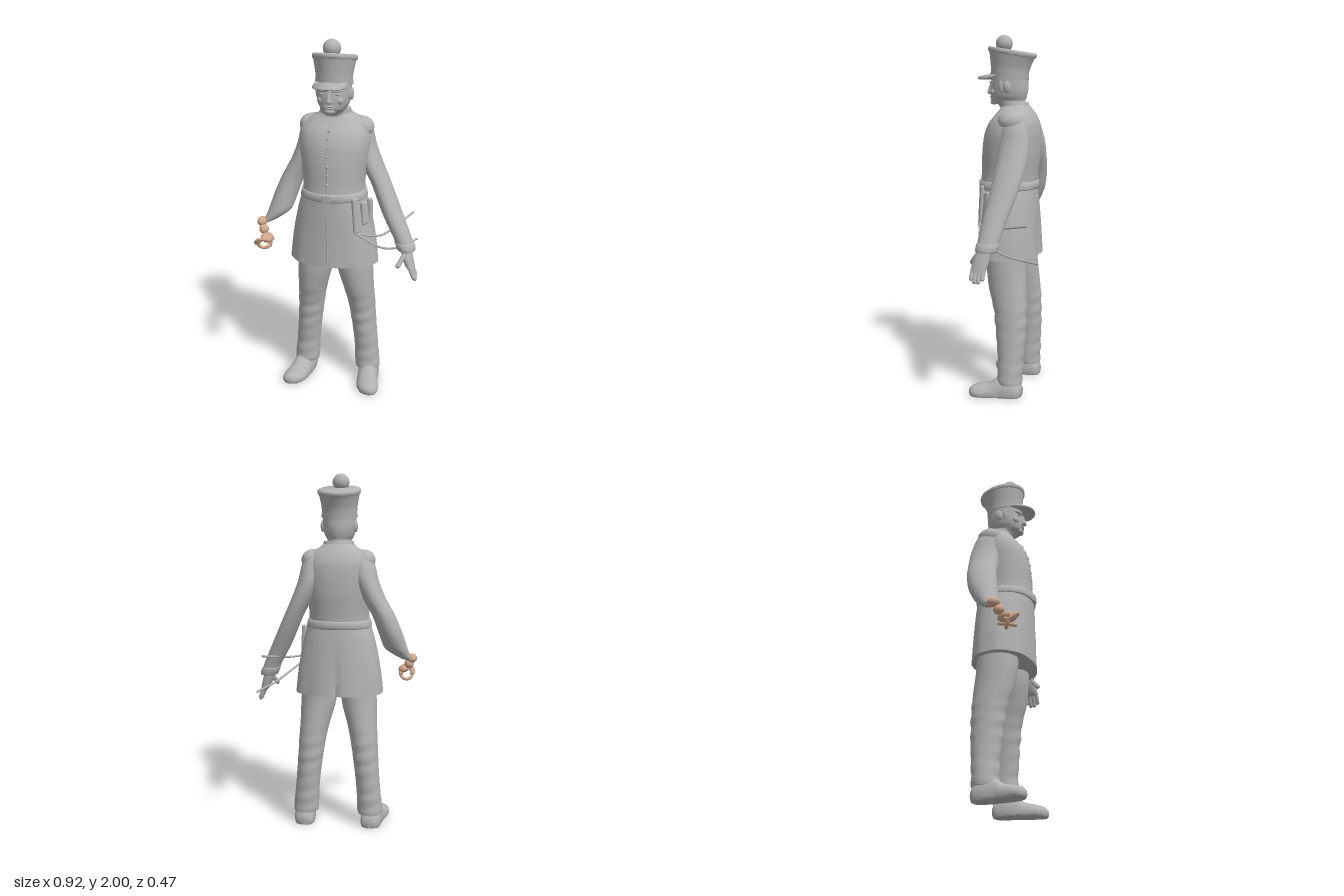
import * as THREE from 'three';
import { toCreasedNormals } from 'three/addons/utils/BufferGeometryUtils.js';
import { RoundedBoxGeometry } from 'three/addons/geometries/RoundedBoxGeometry.js';

const CX = -0.022; // the body's middle line
const gray = new THREE.MeshStandardMaterial({ color: 0xb2b2b2 });
gray.name = 'plain gray';
const tan = new THREE.MeshStandardMaterial({ color: 0xd0a88c });
tan.name = 'tan';

// Smooth loft through elliptical sections [x, y, z, rx, rz, tilt], listed from low to high
function loft(sections, { steps = 5, sides = 48, power = 2, shape = null } = {}) {
  const at = (i) => sections[Math.max(0, Math.min(sections.length - 1, i))];
  const rings = [];
  for (let i = 0; i < sections.length - 1; i++) {
    for (let k = 0; k < steps; k++) {
      const t = k / steps, t2 = t * t, t3 = t2 * t;
      rings.push([0, 1, 2, 3, 4, 5].map((c) => {
        const v = (n) => at(n)[c] ?? 0;
        const m0 = (v(i + 1) - v(i - 1)) * 0.4, m1 = (v(i + 2) - v(i)) * 0.4;
        return (2 * t3 - 3 * t2 + 1) * v(i) + (t3 - 2 * t2 + t) * m0 + (3 * t2 - 2 * t3) * v(i + 1) + (t3 - t2) * m1;
      }));
    }
  }
  rings.push(sections.at(-1));
  const pos = [], index = [], p = new THREE.Vector3();
  for (const [x, y, z, rx, rz, tilt = 0] of rings) {
    for (let j = 0; j < sides; j++) {
      const a = (j / sides) * Math.PI * 2, c = Math.cos(a), s = Math.sin(a);
      const dx = Math.sign(c) * Math.abs(c) ** (2 / power) * rx;
      const dz = Math.sign(s) * Math.abs(s) ** (2 / power) * rz;
      p.set(x + dx, y + tilt * dz, z + dz);
      if (shape) shape(p, a);
      pos.push(p.x, p.y, p.z);
    }
  }
  for (let i = 0; i < rings.length - 1; i++) {
    for (let j = 0; j < sides; j++) {
      const a = i * sides + j, b = i * sides + ((j + 1) % sides);
      index.push(a, a + sides, b, b, a + sides, b + sides);
    }
  }
  const top = (rings.length - 1) * sides, n = rings.length * sides;
  pos.push(...rings[0].slice(0, 3), ...rings.at(-1).slice(0, 3));
  for (let j = 0; j < sides; j++) {
    const k = (j + 1) % sides;
    index.push(n, j, k, n + 1, top + k, top + j);
  }
  const g = new THREE.BufferGeometry();
  g.setAttribute('position', new THREE.Float32BufferAttribute(pos, 3));
  g.setIndex(index);
  return g;
}

export function createModel() {
  const model = new THREE.Group();
  model.name = 'soldier';
  const add = (name, geometry, material = gray) => {
    const mesh = new THREE.Mesh(geometry, material);
    mesh.name = name;
    model.add(mesh);
    return mesh;
  };
  const form = (name, sections, options) => add(name, toCreasedNormals(loft(sections, options), 0.9));
  const ball = (name, x, y, z, rx, ry = rx, rz = rx, material = gray) => {
    const m = add(name, new THREE.SphereGeometry(1, 24, 16), material);
    m.position.set(x, y, z);
    m.scale.set(rx, ry, rz);
    return m;
  };
  const finger = (name, a, b, r, material = gray) => {
    const from = new THREE.Vector3(...a), to = new THREE.Vector3(...b), d = to.clone().sub(from);
    const m = add(name, new THREE.CapsuleGeometry(r, d.length(), 5, 12), material);
    m.position.copy(from).add(to).multiplyScalar(0.5);
    m.quaternion.setFromUnitVectors(new THREE.Vector3(0, 1, 0), d.normalize());
  };
  const tube = (name, points, r, material = gray) =>
    add(name, new THREE.TubeGeometry(new THREE.CatmullRomCurve3(points.map((q) => new THREE.Vector3(...q))), 24, r, 8), material);

  // Coat with soft skirt folds and a slit at the back
  form('coat', [
    [CX, 0.78, 0.047, 0.25, 0.17], [CX, 0.9, 0.048, 0.237, 0.166], [CX, 1.0, 0.05, 0.22, 0.163],
    [CX, 1.1, 0.053, 0.198, 0.16], [CX, 1.18, 0.056, 0.172, 0.156], [CX, 1.25, 0.05, 0.17, 0.156],
    [CX, 1.35, 0.042, 0.183, 0.16], [CX, 1.45, 0.034, 0.195, 0.154], [CX, 1.52, 0.024, 0.188, 0.136],
    [CX, 1.57, 0.015, 0.155, 0.105], [CX, 1.6, 0.015, 0.105, 0.085], [CX, 1.62, 0.02, 0.08, 0.075],
  ], {
    sides: 96, power: 2.15, shape: (p, a) => {
      const low = Math.max(0, Math.min(1, (1.12 - p.y) / 0.34));
      const back = Math.exp(-(((a - Math.PI * 1.5) / 0.05) ** 2));
      const k = 1 + low * (0.012 * Math.sin(a * 9) - 0.08 * back);
      p.x = CX + (p.x - CX) * k;
      p.z = 0.047 + (p.z - 0.047) * k;
    },
  });
  form('belt', [
    [CX, 1.155, 0.055, 0.183, 0.16], [CX, 1.16, 0.055, 0.185, 0.165],
    [CX, 1.195, 0.055, 0.178, 0.164], [CX, 1.2, 0.055, 0.172, 0.158],
  ], { steps: 2, power: 2.15, sides: 64 });
  const buckle = add('beltBuckle', new RoundedBoxGeometry(0.05, 0.045, 0.016, 2, 0.006));
  buckle.position.set(CX, 1.178, 0.22);
  tube('frontSeam', [[CX, 0.8, 0.216], [CX, 1, 0.212], [CX, 1.15, 0.212], [CX, 1.25, 0.205], [CX, 1.35, 0.201], [CX, 1.45, 0.187], [CX, 1.52, 0.159], [CX, 1.57, 0.12]], 0.004);
  const chest = new THREE.CatmullRomCurve3([[1.25, 0.206], [1.35, 0.202], [1.45, 0.188], [1.53, 0.154]].map(([y, z]) => new THREE.Vector3(CX, y, z)));
  for (let i = 0; i < 7; i++) {
    const q = chest.getPoint(i / 6);
    ball('coatButton', q.x, q.y, q.z, 0.009, 0.009, 0.007);
  }
  form('collar', [[CX, 1.575, 0.015, 0.1, 0.09], [CX, 1.6, 0.02, 0.089, 0.083], [CX, 1.633, 0.026, 0.083, 0.078]]);

  // Head and face
  form('head', [
    [CX, 1.59, 0.025, 0.07, 0.068], [CX, 1.625, 0.04, 0.068, 0.082], [CX, 1.64, 0.06, 0.068, 0.096],
    [CX, 1.665, 0.058, 0.082, 0.102], [CX, 1.7, 0.055, 0.09, 0.106], [CX, 1.74, 0.053, 0.093, 0.104],
    [CX, 1.79, 0.053, 0.094, 0.104],
  ]);
  form('nose', [[CX, 1.677, 0.158, 0.009, 0.012], [CX, 1.685, 0.16, 0.018, 0.024], [CX, 1.7, 0.159, 0.014, 0.022], [CX, 1.745, 0.152, 0.009, 0.012]], { sides: 20 });
  ball('upperLip', CX, 1.664, 0.157, 0.027, 0.006, 0.01);
  ball('lowerLip', CX, 1.652, 0.153, 0.022, 0.006, 0.01);
  ball('chin', CX, 1.635, 0.143, 0.03, 0.016, 0.02);
  for (const s of [-1, 1]) {
    ball('brow', CX + s * 0.037, 1.744, 0.143, 0.03, 0.008, 0.016).rotation.y = s * 0.35;
    ball('eye', CX + s * 0.036, 1.726, 0.145, 0.016, 0.007, 0.008);
    ball('cheek', CX + s * 0.046, 1.69, 0.128, 0.026, 0.022, 0.02);
    ball('ear', CX + s * 0.091, 1.715, 0.04, 0.013, 0.033, 0.022);
    ball('sideburn', CX + s * 0.087, 1.725, 0.075, 0.008, 0.035, 0.014);
  }

  // Tall flared cap with peak and ball
  form('cap', [
    [CX, 1.768, 0.053, 0.096, 0.103, 0.12], [CX, 1.82, 0.05, 0.099, 0.108, 0.13],
    [CX, 1.87, 0.043, 0.108, 0.12, 0.15], [CX, 1.909, 0.036, 0.116, 0.133, 0.167],
  ], { sides: 64 });
  form('capTopBand', [[CX, 1.89, 0.038, 0.115, 0.13, 0.16], [CX, 1.895, 0.038, 0.118, 0.134, 0.16], [CX, 1.913, 0.036, 0.118, 0.135, 0.167], [CX, 1.918, 0.036, 0.11, 0.127, 0.167]], { steps: 2, sides: 64 });
  form('capBottomBand', [[CX, 1.765, 0.053, 0.099, 0.106, 0.12], [CX, 1.787, 0.052, 0.1, 0.108, 0.12]], { steps: 2, sides: 64 });
  form('capPeak', [[CX, 1.777, 0.142, 0.086, 0.088, -0.2], [CX, 1.783, 0.142, 0.091, 0.094, -0.2], [CX, 1.793, 0.142, 0.086, 0.088, -0.2]], {
    steps: 3, shape: (p) => { p.y -= 1.8 * (p.x - CX) ** 2; },
  });
  ball('capBall', -0.025, 1.953, 0.085, 0.047);

  // Trousers and boots
  for (const s of [-1, 1]) {
    const side = s < 0 ? 'right' : 'left';
    const place = (list) => list.map(([d, ...rest]) => [CX + s * d, ...rest]);
    form(side + 'TrouserLeg', place([
      [0.188, 0.075, -0.006, 0.07, 0.068], [0.186, 0.1, -0.004, 0.073, 0.072], [0.179, 0.2, -0.007, 0.069, 0.073],
      [0.17, 0.3, -0.006, 0.069, 0.081], [0.16, 0.4, -0.002, 0.072, 0.088], [0.15, 0.5, 0.005, 0.077, 0.095],
      [0.136, 0.6, 0.022, 0.085, 0.107], [0.118, 0.72, 0.036, 0.1, 0.112], [0.108, 0.85, 0.04, 0.102, 0.112],
    ]), { shape: (p, a) => {
      const wave = Math.exp(-(((p.y - 0.42) / 0.12) ** 2)) + Math.exp(-(((p.y - 0.16) / 0.07) ** 2));
      p.z += 0.004 * wave * Math.sin(p.y * 75 + a);
    } });
    const boot = loft(place([
      [0.19, -0.073, -0.03, 0.03, 0.03], [0.192, -0.055, -0.03, 0.052, 0.06], [0.195, -0.01, -0.03, 0.06, 0.09],
      [0.2, 0.05, -0.025, 0.06, 0.09], [0.21, 0.1, -0.02, 0.063, 0.06], [0.222, 0.155, -0.02, 0.064, 0.047],
      [0.232, 0.195, -0.02, 0.05, 0.036], [0.237, 0.215, -0.02, 0.022, 0.018],
    ]));
    boot.rotateX(Math.PI / 2);
    const bp = boot.attributes.position;
    for (let i = 0; i < bp.count; i++) bp.setY(i, Math.max(0, bp.getY(i)));
    add(side + 'Boot', toCreasedNormals(boot, 0.8));
    ball(side + 'ShoulderWing', CX + s * 0.15, 1.535, 0.003, 0.058, 0.052, 0.07).rotation.z = -s * 0.6;
  }

  // Left arm with open hand
  form('leftSleeve', [
    [0.387, 0.872, 0.05, 0.047, 0.056], [0.36, 0.94, 0.042, 0.05, 0.06], [0.31, 1.04, 0.025, 0.055, 0.068],
    [0.268, 1.13, 0.005, 0.055, 0.075], [0.223, 1.23, -0.012, 0.054, 0.081], [0.172, 1.33, -0.02, 0.06, 0.085],
    [0.134, 1.42, -0.02, 0.064, 0.085], [0.116, 1.5, -0.01, 0.065, 0.077], [0.105, 1.55, -0.004, 0.057, 0.062],
    [0.095, 1.588, 0, 0.025, 0.03],
  ]);
  form('leftCuff', [[0.39, 0.866, 0.052, 0.046, 0.056], [0.388, 0.872, 0.052, 0.051, 0.06], [0.375, 0.905, 0.047, 0.053, 0.062], [0.371, 0.912, 0.046, 0.048, 0.058]], { steps: 2 });
  form('leftPalm', [[0.427, 0.765, 0.083, 0.018, 0.04], [0.415, 0.79, 0.08, 0.026, 0.044], [0.4, 0.835, 0.073, 0.03, 0.044], [0.386, 0.885, 0.06, 0.03, 0.036]]);
  [0.052, 0.073, 0.094, 0.114].forEach((z, i) =>
    finger('leftFinger', [0.42, 0.785, z], [0.443 + (i % 3 ? 0.004 : 0), i % 3 ? 0.715 : 0.73, z + 0.004], 0.0115));
  finger('leftThumb', [0.385, 0.85, 0.1], [0.36, 0.8, 0.14], 0.0135);

  // Right arm
  form('rightSleeve', [
    [-0.42, 0.962, 0.08, 0.014, 0.02], [-0.392, 0.985, 0.065, 0.036, 0.04], [-0.345, 1.04, 0.038, 0.064, 0.065],
    [-0.315, 1.13, 0.008, 0.066, 0.08], [-0.277, 1.23, -0.012, 0.063, 0.083], [-0.222, 1.33, -0.02, 0.064, 0.085],
    [-0.184, 1.42, -0.02, 0.066, 0.085], [-0.163, 1.5, -0.01, 0.066, 0.077], [-0.15, 1.55, -0.004, 0.057, 0.062],
    [-0.14, 1.588, 0, 0.025, 0.03],
  ]);

  // Hilt and knuckle guard at the right sleeve
  ball('hiltPommel', -0.435, 0.972, 0.1, 0.027, 0.026, 0.036, tan);
  ball('hiltGrip', -0.416, 0.935, 0.125, 0.027, 0.027, 0.03, tan);
  ball('hiltBulb', -0.386, 0.9, 0.16, 0.034, 0.022, 0.052, tan).rotation.z = -0.4;
  const guard = add('hiltGuard', new THREE.TorusGeometry(0.036, 0.009, 10, 28), tan);
  guard.position.set(-0.398, 0.868, 0.175);
  guard.rotation.set(0.5, 0.3, 0);
  tube('hiltClaw', [[-0.37, 0.9, 0.2], [-0.4, 0.91, 0.222], [-0.434, 0.89, 0.215], [-0.436, 0.865, 0.185], [-0.42, 0.88, 0.16]], 0.009, tan);
  finger('hiltBar', [-0.37, 0.88, 0.115], [-0.368, 0.86, 0.2], 0.01, tan);

  // Hip frog, pouch and thin curved rods on the left
  const frog = (name, x, y, z, w, h, turn) => {
    const m = add(name, new RoundedBoxGeometry(w, h, 0.03, 3, 0.012));
    m.position.set(x, y, z);
    m.rotation.set(-0.1, turn, 0.1);
  };
  frog('hipFrog', 0.125, 1.08, 0.168, 0.035, 0.2, 0.75);
  frog('hipPouch', 0.163, 1.085, 0.125, 0.045, 0.13, 1.0);
  frog('hipStrap', 0.185, 1.07, 0.075, 0.03, 0.17, 1.3);
  tube('upperRod', [[0.13, 0.98, 0.18], [0.25, 0.96, 0.12], [0.33, 0.985, -0.04], [0.385, 1.01, -0.165]], 0.006);
  tube('lowerRod', [[0.13, 0.985, 0.185], [0.25, 0.895, 0.125], [0.335, 0.838, -0.04], [0.4, 0.82, -0.235]], 0.006);
  return model;
}
